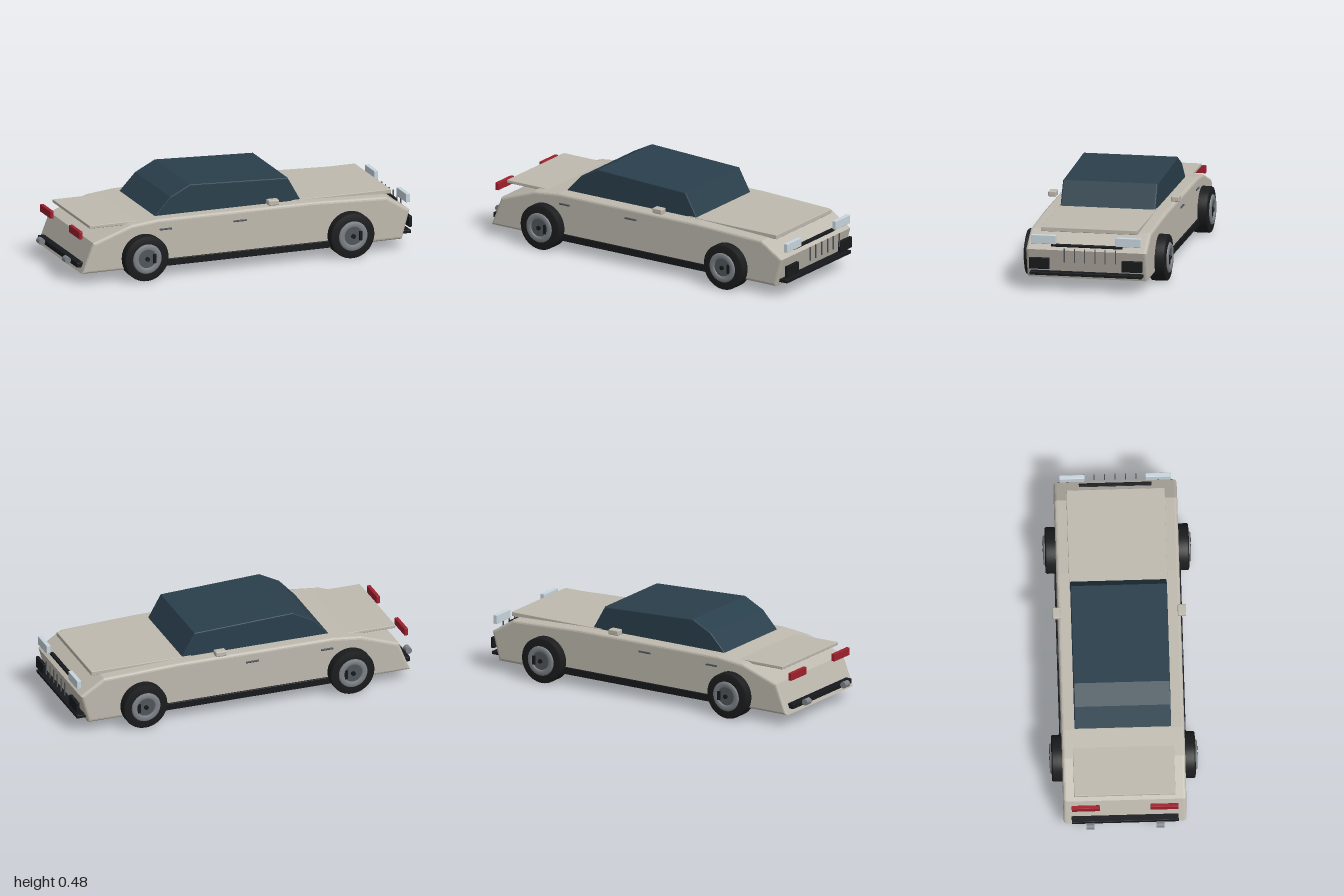
import * as THREE from 'three';
import { RoundedBoxGeometry } from 'three/addons/geometries/RoundedBoxGeometry.js';

const mat = (color) => new THREE.MeshStandardMaterial({ color });

export function createModel() {
  const car = new THREE.Group();
  car.name = 'car';
  const paint = mat(0xbfbaaf), glass = mat(0x2a3f4c), black = mat(0x17191c), rubber = mat(0x1b1c1d);
  const lamp = mat(0xc8d6de), red = mat(0xa01f2d), metal = mat(0x7d8288), darkMetal = mat(0x50565b);

  const add = (name, geometry, material, parent = car) => {
    const mesh = new THREE.Mesh(geometry, material);
    mesh.name = name;
    parent.add(mesh);
    return mesh;
  };

  // Box given by its extents along x, y and z
  const box = (name, material, [x0, x1], [y0, y1], [z0, z1], radius = 0.003) => {
    const mesh = add(name, new RoundedBoxGeometry(x1 - x0, y1 - y0, z1 - z0, 2, radius), material);
    mesh.position.set((x0 + x1) / 2, (y0 + y1) / 2, (z0 + z1) / 2);
    return mesh;
  };
  // The same box on both sides of the car
  const pair = (name, material, xs, ys, [z0, z1], radius) => {
    box(name + 'Left', material, xs, ys, [-z1, -z0], radius);
    box(name + 'Right', material, xs, ys, [z0, z1], radius);
  };

  // Side profile extruded across the width, with rounded edges
  const hull = (name, material, points, halfWidth, bevel) => {
    const shape = new THREE.Shape(points.map(([x, y]) => new THREE.Vector2(x, y)));
    const geometry = new THREE.ExtrudeGeometry(shape, {
      depth: 2 * (halfWidth - bevel), bevelEnabled: true, bevelSize: bevel,
      bevelThickness: bevel, bevelOffset: -bevel, bevelSegments: 3,
    });
    geometry.translate(0, 0, bevel - halfWidth);
    return add(name, geometry, material);
  };

  // Body and cabin
  hull('body', paint, [
    [-0.945, 0.062], [0.92, 0.06], [0.965, 0.222], [0.83, 0.308], [0.4, 0.325],
    [-0.5, 0.325], [-0.66, 0.308], [-0.88, 0.23],
  ], 0.334, 0.016);
  hull('cabin', glass, [
    [-0.505, 0.315], [0.36, 0.315], [0.28, 0.457], [-0.29, 0.481], [-0.405, 0.422],
  ], 0.262, 0.006);
  box('hood', paint, [0.3, 0.88], [0.305, 0.329], [-0.267, 0.267]);
  box('trunkLid', paint, [-0.88, -0.45], [0.297, 0.314], [-0.275, 0.275]);

  // Side trim
  pair('rocker', black, [-0.5, 0.52], [0.061, 0.1], [0.3, 0.343]);
  pair('mirror', paint, [0.13, 0.192], [0.34, 0.37], [0.317, 0.362], 0.006);
  pair('rearHandle', darkMetal, [-0.495, -0.425], [0.264, 0.273], [0.33, 0.341], 0.002);
  pair('frontHandle', darkMetal, [-0.065, 0.01], [0.264, 0.273], [0.33, 0.341], 0.002);

  // Front end
  pair('headlight', lamp, [0.952, 0.976], [0.256, 0.305], [0.165, 0.303]);
  box('grilleBar', black, [0.925, 0.947], [0.236, 0.25], [-0.197, 0.197]);
  for (let i = 0; i < 6; i++) {
    const slat = add('grilleSlat', new THREE.BoxGeometry(0.006, 0.077, 0.005), darkMetal);
    slat.position.set(0.997, 0.202, 0.114 - i * 0.0565);
  }
  pair('frontVent', black, [0.966, 0.984], [0.118, 0.18], [0.2, 0.312]);
  box('frontBumper', black, [0.925, 0.98], [0.083, 0.101], [-0.31, 0.31]);

  // Rear end
  pair('taillight', red, [-0.947, -0.926], [0.248, 0.29], [0.138, 0.29]);
  box('rearBumper', black, [-0.96, -0.91], [0.09, 0.117], [-0.29, 0.29]);
  for (const side of [-1, 1]) {
    const pipe = add('exhaust', new THREE.CylinderGeometry(0.018, 0.018, 0.044, 24).rotateX(Math.PI / 2), metal);
    pipe.position.set(-0.982, 0.113, side * 0.19);
  }

  // Wheels: local z points outwards
  const disc = (radius, z0, z1) =>
    new THREE.CylinderGeometry(radius, radius, z1 - z0, 40).rotateX(Math.PI / 2).translate(0, 0, (z0 + z1) / 2);
  const tireProfile = [[0.06, 0.302], [0.125, 0.302], [0.127, 0.306], [0.127, 0.382], [0.122, 0.389], [0.08, 0.391], [0.06, 0.389]]
    .map(([r, z]) => new THREE.Vector2(r, z));
  const rimProfile = [[0.05, 0.385], [0.083, 0.385], [0.083, 0.392], [0.077, 0.4], [0.056, 0.4], [0.05, 0.394], [0.05, 0.385]]
    .map(([r, z]) => new THREE.Vector2(r, z));
  const tireGeometry = new THREE.LatheGeometry(tireProfile, 48).rotateX(Math.PI / 2);
  const rimGeometry = new THREE.LatheGeometry(rimProfile, 48).rotateX(Math.PI / 2);
  for (const x of [-0.59, 0.61]) {
    for (const side of [-1, 1]) {
      const wheel = new THREE.Group();
      wheel.name = (x > 0 ? 'front' : 'rear') + (side > 0 ? 'Right' : 'Left') + 'Wheel';
      add('tire', tireGeometry, rubber, wheel);
      add('rim', rimGeometry, metal, wheel);
      add('wheelDisc', disc(0.062, 0.304, 0.392), darkMetal, wheel);
      add('hub', disc(0.012, 0.39, 0.402), black, wheel);
      const caliper = add('caliper', new THREE.BoxGeometry(0.016, 0.05, 0.01), black, wheel);
      caliper.position.set(0.042 * side, 0, 0.397);
      wheel.position.set(x, 0.127, 0);
      if (side < 0) wheel.rotation.y = Math.PI;
      car.add(wheel);
    }
  }
  return car;
}
